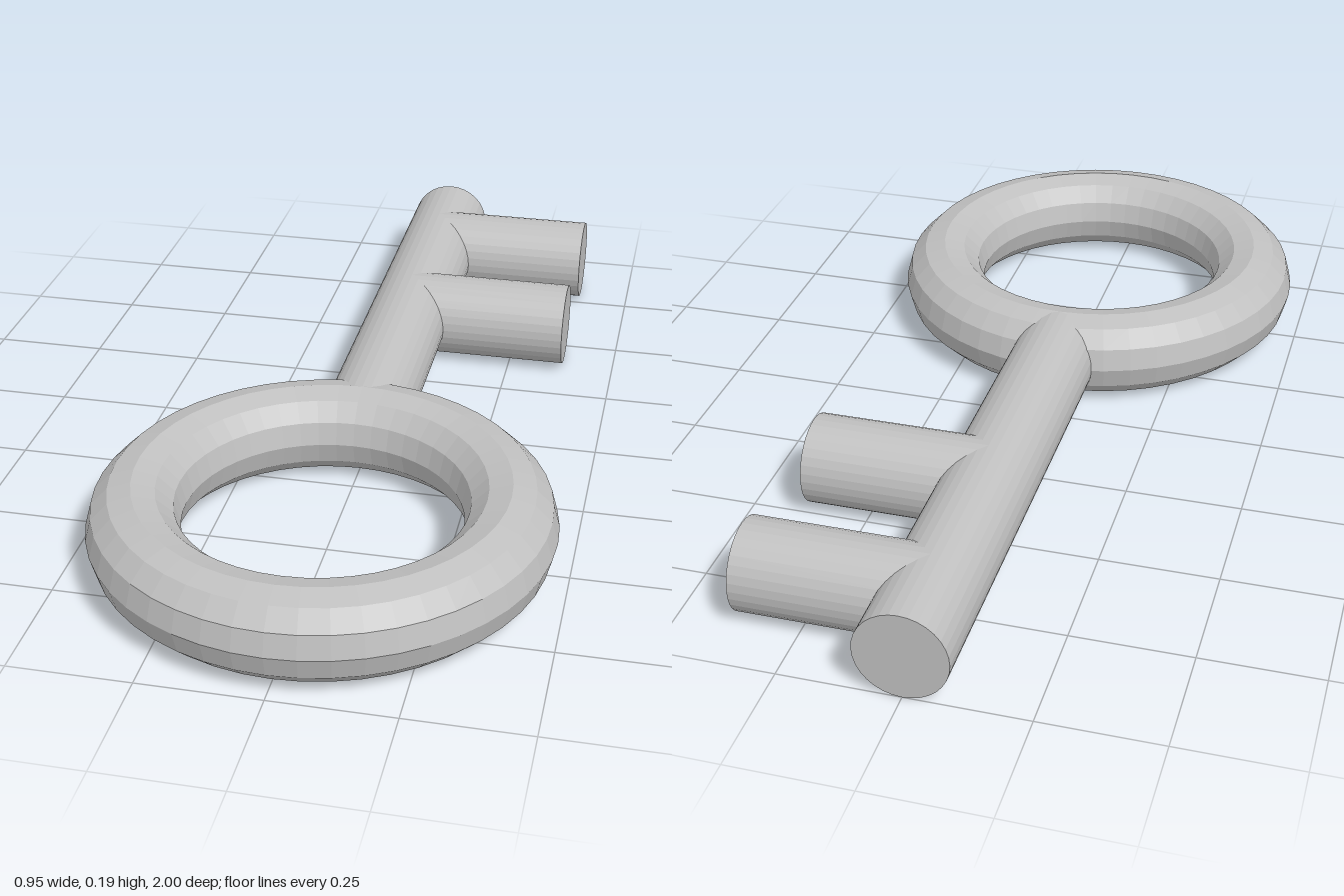
import * as THREE from 'three';

export function createModel() {
  const model = new THREE.Group();
  model.name = 'key';
  const metal = new THREE.MeshStandardMaterial({ color: 0xc0c0c0, flatShading: true });
  metal.name = 'grey metal';

  const R = 0.095; // thickness radius shared by the ring and the rods
  const ringRadius = 0.38;
  const ringZ = 1 - ringRadius - R;

  const add = (name, geometry, x, z) => {
    const mesh = new THREE.Mesh(geometry, metal);
    mesh.name = name;
    mesh.position.set(x, R, z);
    model.add(mesh);
  };

  // Ring handle lying flat
  add('ringHandle', new THREE.TorusGeometry(ringRadius, R, 12, 48).rotateX(Math.PI / 2), 0, ringZ);

  // Shaft from the back end to the middle of the ring's tube
  const shaftEnd = ringZ - ringRadius;
  const shaftLength = shaftEnd + 1;
  add('shaft', new THREE.CylinderGeometry(R, R, shaftLength, 32).rotateX(Math.PI / 2), 0, shaftEnd - shaftLength / 2);

  // Two teeth pointing left
  const toothLength = 0.38;
  for (const [name, z] of [['frontTooth', -0.43], ['backTooth', -0.81]]) {
    add(name, new THREE.CylinderGeometry(R, R, toothLength, 32).rotateZ(Math.PI / 2), toothLength / 2, z);
  }
  return model;
}
